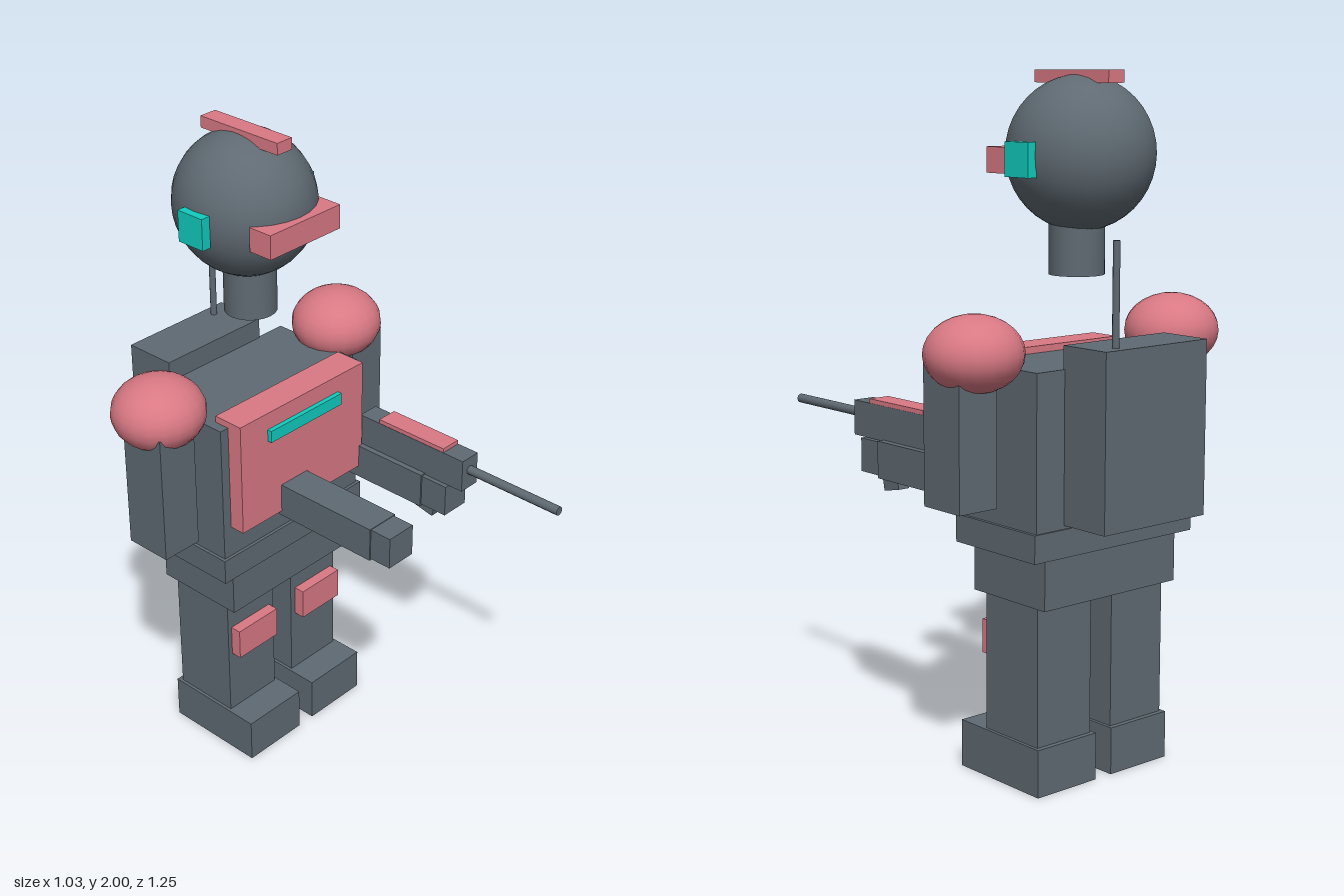
import * as THREE from 'three';

export function createModel() {
  const model = new THREE.Group();
  model.name = 'toyTrooper';

  const mat = (name, color) => {
    const m = new THREE.MeshStandardMaterial({ color });
    m.name = name;
    return m;
  };
  const grey = mat('slate grey', 0x5f6a72);
  const pink = mat('dusty pink', 0xd97984);
  const teal = mat('bright teal', 0x11cbbd);

  const add = (name, geometry, material, x, y, z) => {
    const mesh = new THREE.Mesh(geometry, material);
    mesh.name = name;
    mesh.position.set(x, y, z);
    model.add(mesh);
    return mesh;
  };
  // Box given by its lower and upper limits on each axis
  const box = (name, material, [x0, x1], [y0, y1], [z0, z1]) =>
    add(name, new THREE.BoxGeometry(x1 - x0, y1 - y0, z1 - z0), material,
      (x0 + x1) / 2, (y0 + y1) / 2, (z0 + z1) / 2);
  const ellipsoid = (name, material, [x, y, z], [rx, ry, rz], segments, rings) =>
    add(name, new THREE.SphereGeometry(1, segments, rings).scale(rx, ry, rz), material, x, y, z);

  // Paired parts: legs, arms, shoulders and ears
  for (const [side, s] of [['left', 1], ['right', -1]]) {
    const span = (a, b) => (s > 0 ? [a, b] : [-b, -a]);
    box(side + 'Boot', grey, span(0.03, 0.25), [0, 0.14], [-0.43, -0.095]);
    box(side + 'Leg', grey, span(0.04, 0.24), [0.14, 0.55], [-0.415, -0.195]);
    box(side + 'KneePad', pink, span(0.06, 0.225), [0.355, 0.455], [-0.2, -0.16]);
    box(side + 'UpperArm', grey, span(0.337, 0.468), [0.83, 1.23], [-0.357, -0.205]);
    ellipsoid(side + 'ShoulderPad', pink, [s * 0.375, 1.252, -0.307], [0.14, 0.108, 0.138], 20, 14);
    box(side + 'EarPiece', teal, span(0.195, 0.225), [1.715, 1.81], [-0.353, -0.258]);
  }

  // Body
  box('pelvis', grey, [-0.25, 0.25], [0.545, 0.69], [-0.455, -0.155]);
  box('belt', grey, [-0.3, 0.3], [0.69, 0.77], [-0.47, -0.135]);
  box('torso', grey, [-0.29, 0.29], [0.77, 1.21], [-0.465, -0.145]);
  box('chestPlate', pink, [-0.26, 0.26], [0.87, 1.23], [-0.195, -0.095]);
  box('chestLight', teal, [-0.15, 0.15], [1.138, 1.176], [-0.1, -0.08]);

  // Backpack with aerial
  box('backpack', grey, [-0.19, 0.19], [0.78, 1.275], [-0.625, -0.46]);
  add('aerial', new THREE.CylinderGeometry(0.01, 0.01, 0.3, 10), grey, 0.12, 1.41, -0.587);

  // Forearms and hands, held forward
  box('rightForearm', grey, [-0.097, 0.013], [0.855, 0.962], [-0.105, 0.255]);
  box('rightHand', grey, [-0.093, 0.007], [0.86, 0.96], [0.25, 0.327]);
  box('leftForearm', grey, [0.247, 0.357], [0.832, 0.942], [-0.205, 0.155]);
  box('leftHand', grey, [0.252, 0.348], [0.837, 0.937], [0.15, 0.247]);

  // Blaster resting on the left hand
  box('blasterBody', grey, [0.265, 0.335], [0.938, 1.042], [-0.105, 0.297]);
  box('blasterStripe', pink, [0.266, 0.334], [1.035, 1.055], [-0.03, 0.222]);
  add('blasterBarrel', new THREE.CylinderGeometry(0.014, 0.014, 0.335, 12).rotateX(Math.PI / 2),
    grey, 0.3, 0.999, 0.458);
  const grip = add('blasterGrip', new THREE.BoxGeometry(0.037, 0.14, 0.07), grey, 0.302, 0.862, 0.152);
  grip.rotation.x = 0.2;

  // Head, floating above the body
  add('neck', new THREE.CylinderGeometry(0.079, 0.079, 0.18, 20), grey, 0, 1.53, -0.303);
  ellipsoid('head', grey, [0, 1.775, -0.316], [0.204, 0.214, 0.215], 28, 20);
  box('visor', pink, [-0.14, 0.14], [1.716, 1.789], [-0.16, -0.08]);
  box('crest', pink, [-0.029, 0.029], [1.965, 2], [-0.455, -0.157]);

  return model;
}
